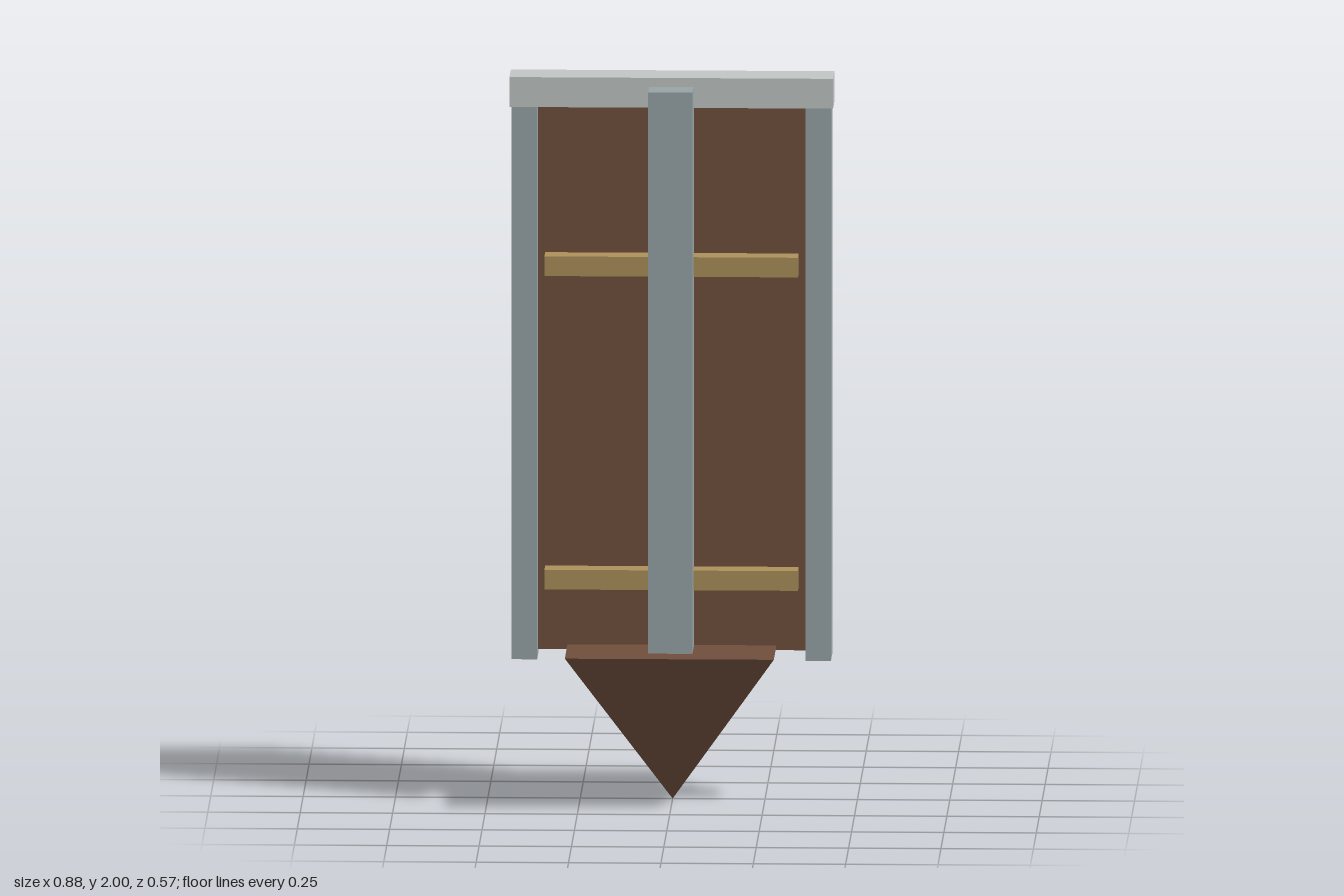
import * as THREE from 'three';

const mat = (color) => new THREE.MeshStandardMaterial({ color });

export function createModel() {
  const model = new THREE.Group();
  const wood = mat(0x6f4e3c), steel = mat(0x97a3a6), paleSteel = mat(0xc0c6c4);
  const brass = mat(0xab905a), dark = mat(0x343d44);

  // Box given by its extents along each axis
  const box = (name, material, [x0, x1], [y0, y1], [z0, z1]) => {
    const mesh = new THREE.Mesh(new THREE.BoxGeometry(x1 - x0, y1 - y0, z1 - z0), material);
    mesh.position.set((x0 + x1) / 2, (y0 + y1) / 2, (z0 + z1) / 2);
    mesh.name = name;
    model.add(mesh);
  };

  // Wooden board and the metal edging around it
  box('panel', wood, [-0.383, 0.383], [0.42, 1.933], [-0.06, 0.06]);
  box('topRail', paleSteel, [-0.438, 0.438], [1.918, 2], [-0.004, 0.114]);
  box('leftPost', steel, [0.363, 0.432], [0.4, 1.96], [0, 0.11]);
  box('rightPost', steel, [-0.432, -0.363], [0.4, 1.96], [0, 0.11]);

  // Central rib and the two cross bars on the front
  box('centreRib', steel, [-0.06, 0.06], [0.43, 1.975], [0.06, 0.198]);
  for (const [name, y] of [['lowerBar', 0.622], ['upperBar', 1.483]])
    box(name, brass, [-0.343, 0.343], [y - 0.027, y + 0.027], [0.06, 0.126]);

  // Grip behind the board
  box('handle', dark, [-0.088, 0.088], [0.835, 1.265], [-0.2, -0.088]);

  // Square pyramid pointing down
  const spike = new THREE.Mesh(
    new THREE.ConeGeometry(0.4, 0.433, 4, 1, false, Math.PI / 4), wood);
  spike.rotation.x = Math.PI;
  spike.position.y = 0.2165;
  spike.name = 'bottomPoint';
  model.add(spike);

  return model;
}
